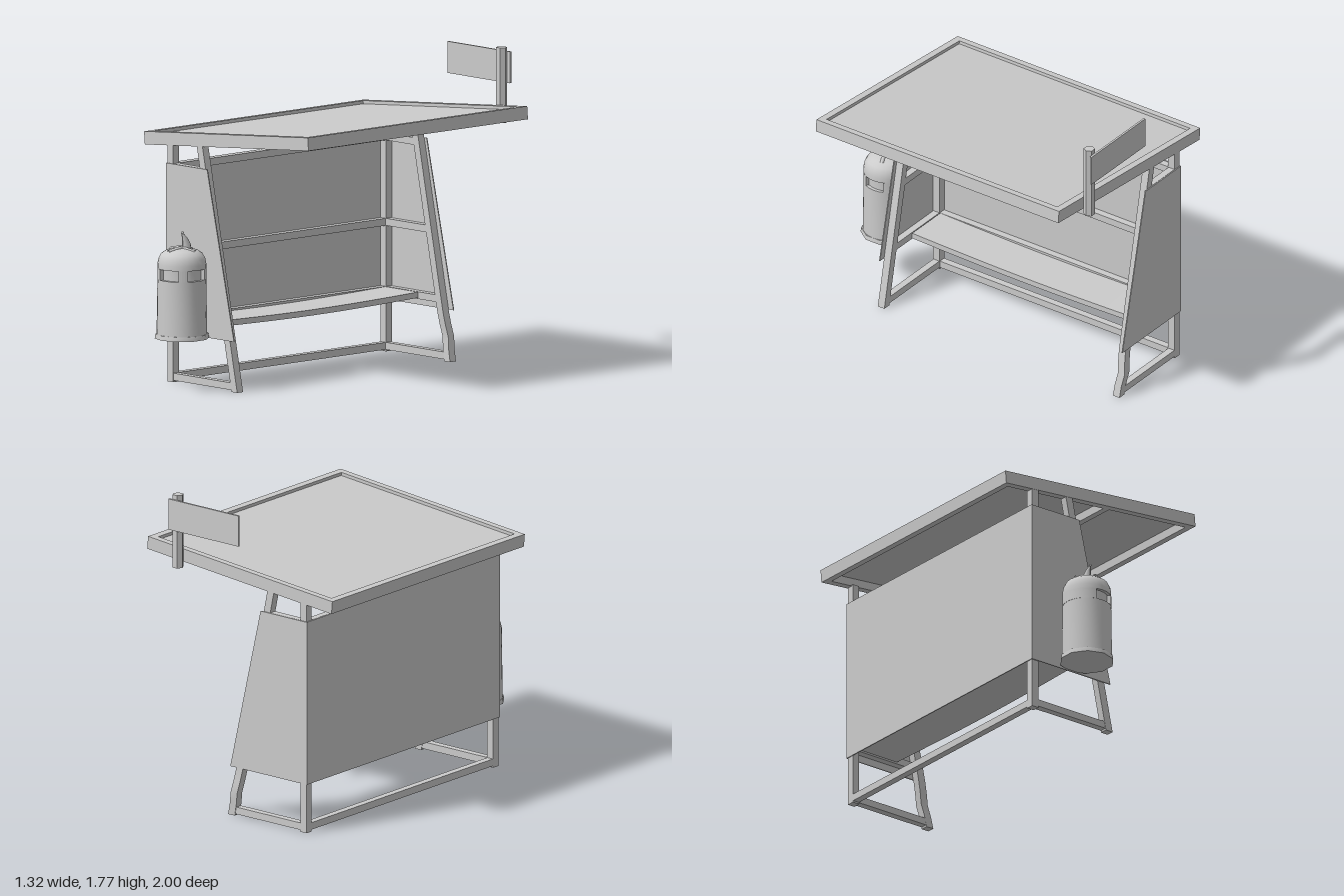
import * as THREE from 'three';
import { toCreasedNormals } from 'three/addons/utils/BufferGeometryUtils.js';

const mat = new THREE.MeshStandardMaterial({ color: 0xcccccc, side: THREE.DoubleSide });

function add(parent, name, geometry, x = 0, y = 0, z = 0) {
  const mesh = new THREE.Mesh(geometry, mat);
  mesh.name = name;
  mesh.position.set(x, y, z);
  parent.add(mesh);
  return mesh;
}

// Box given by its limits on each axis
function bar(parent, name, [x0, x1], [y0, y1], [z0, z1]) {
  return add(parent, name, new THREE.BoxGeometry(x1 - x0, y1 - y0, z1 - z0),
    (x0 + x1) / 2, (y0 + y1) / 2, (z0 + z1) / 2);
}

const legX = (y) => 0.063 - 0.21 * y; // centre line of the slanted legs
const railLevels = [0.03, 0.34, 0.717, 1.19];

// Slanted front leg, optionally dented near the foot
function slantedLeg(dent) {
  const g = new THREE.BoxGeometry(0.046, 1.34, 0.044, 1, 20, 1).translate(0, 0.67, 0);
  const p = g.attributes.position;
  for (let i = 0; i < p.count; i++) {
    const y = p.getY(i);
    p.setX(i, p.getX(i) + legX(y));
    p.setZ(i, p.getZ(i) - dent * Math.exp(-(((y - 0.14) / 0.06) ** 2)));
  }
  g.computeVertexNormals();
  return g;
}

function createFrame() {
  const frame = new THREE.Group();
  frame.name = 'frame';
  for (const [z, out, dent] of [[0.688, 1, 0], [-0.902, -1, 0.013]]) {
    const zs = [z - 0.022, z + 0.022];
    bar(frame, 'rearPost', [-0.473, -0.429], [0, 1.315], zs);
    add(frame, 'slantedLeg', slantedLeg(dent), 0, 0, z);
    for (const y of railLevels)
      bar(frame, 'sideRail', [-0.44, legX(y)], [y - 0.02, y + 0.02], [z - 0.02, z + 0.02]);

    // Tapered side panel on the outside of the frame
    const s = new THREE.Shape([[-0.48, 0.28], [0.066, 0.28], [-0.15, 1.21], [-0.48, 1.21]]
      .map(([x, y]) => new THREE.Vector2(x, y)));
    add(frame, 'sidePanel', new THREE.ExtrudeGeometry(s, { depth: 0.006, bevelEnabled: false }),
      0, 0, z + out * 0.025 - 0.003);
  }
  for (const y of railLevels)
    bar(frame, 'rearRail', [-0.471, -0.431], [y - 0.02, y + 0.02], [-0.885, 0.67]);
  bar(frame, 'backPanel', [-0.48, -0.474], [0.28, 1.21], [-0.93, 0.716]);

  // Slightly sagging bench board
  const g = new THREE.BoxGeometry(0.265, 0.032, 1.54, 1, 1, 16);
  const p = g.attributes.position;
  for (let i = 0; i < p.count; i++)
    p.setY(i, p.getY(i) - 0.013 * Math.cos((p.getZ(i) / 1.54) * Math.PI));
  g.computeVertexNormals();
  add(frame, 'bench', g, -0.302, 0.343, -0.107);
  return frame;
}

// Tilted roof: rim bars, recessed sheet and middle rib
function createRoof() {
  const roof = new THREE.Group();
  roof.name = 'roof';
  roof.position.set(0, 1.385, -0.108);
  roof.rotation.z = THREE.MathUtils.degToRad(5);
  for (const s of [-1, 1]) {
    add(roof, 'roofEndBar', new THREE.BoxGeometry(0.04, 0.072, 1.64), s * 0.64, 0, 0);
    add(roof, 'roofSideBar', new THREE.BoxGeometry(1.32, 0.072, 0.04), 0, 0, s * 0.8);
  }
  add(roof, 'roofSheet', new THREE.BoxGeometry(1.25, 0.008, 1.57), 0, 0.014, 0);
  add(roof, 'roofRib', new THREE.BoxGeometry(0.04, 0.045, 1.57), 0.07, -0.012, 0);
  return roof;
}

function createSign() {
  const sign = new THREE.Group();
  sign.name = 'sign';
  const pole = new THREE.CylinderGeometry(0.031, 0.031, 0.417, 6).rotateY(Math.PI / 6);
  add(sign, 'signPole', toCreasedNormals(pole, 0.5), 0.415, 1.566, -0.959);
  bar(sign, 'signBoard', [-0.05, 0.45], [1.575, 1.75], [-1, -0.988]);
  return sign;
}

function createBin() {
  const bin = new THREE.Group();
  bin.name = 'litterBin';
  bin.position.set(-0.205, 0, 0.853);
  const v2 = (a) => a.map(([x, y]) => new THREE.Vector2(x, y));

  // Body with a recessed band behind the openings, and domed top
  const body = new THREE.LatheGeometry(v2([[0, 0.288], [0.139, 0.288], [0.134, 0.615], [0.115, 0.615],
    [0.115, 0.675], [0.134, 0.675], [0.134, 0.7], [0.128, 0.73], [0.115, 0.754], [0.09, 0.772],
    [0.05, 0.783], [0, 0.787]]), 24);
  add(bin, 'binBody', toCreasedNormals(body, 0.7));
  add(bin, 'binBase', toCreasedNormals(
    new THREE.CylinderGeometry(0.146, 0.15, 0.025, 10), 0.7), 0, 0.299, 0);

  // Wall segments between the two openings
  for (const [a, b] of [[39, 62], [114, 345]]) {
    const [t0, t1] = [a - 90, b - 90].map(THREE.MathUtils.degToRad);
    const s = new THREE.Shape();
    s.absarc(0, 0, 0.1345, t0, t1, false);
    s.absarc(0, 0, 0.114, t1, t0, true);
    const g = new THREE.ExtrudeGeometry(s, { depth: 0.06, bevelEnabled: false, curveSegments: 20 });
    add(bin, 'binWall', toCreasedNormals(g.rotateX(-Math.PI / 2), 0.7), 0, 0.615, 0);
  }

  // Ridges lying on the dome
  const v3 = (a) => new THREE.CatmullRomCurve3(a.map((q) => new THREE.Vector3(...q)));
  for (const pts of [
    [[-0.02, 0.768, -0.09], [-0.012, 0.782, -0.03], [0.005, 0.785, 0.02], [-0.01, 0.77, 0.09]],
    [[-0.085, 0.77, 0.005], [-0.03, 0.782, -0.008], [0.03, 0.782, 0], [0.085, 0.768, -0.02]],
  ]) add(bin, 'lidRidge', new THREE.TubeGeometry(v3(pts), 12, 0.012, 6));

  // Curved horn with a small knob
  const horn = new THREE.LatheGeometry(v2([[0.026, 0], [0.024, 0.03], [0.016, 0.06],
    [0.008, 0.082], [0, 0.09]]), 10);
  const p = horn.attributes.position;
  for (let i = 0; i < p.count; i++) p.setZ(i, p.getZ(i) + 4 * p.getY(i) ** 2);
  horn.computeVertexNormals();
  add(bin, 'horn', horn, 0.015, 0.78, -0.022);
  add(bin, 'hornKnob', new THREE.SphereGeometry(0.008, 8, 6), 0.015, 0.872, 0.01);
  return bin;
}

export function createModel() {
  const model = new THREE.Group();
  model.name = 'busShelter';
  model.add(createFrame(), createRoof(), createSign(), createBin());
  return model;
}
